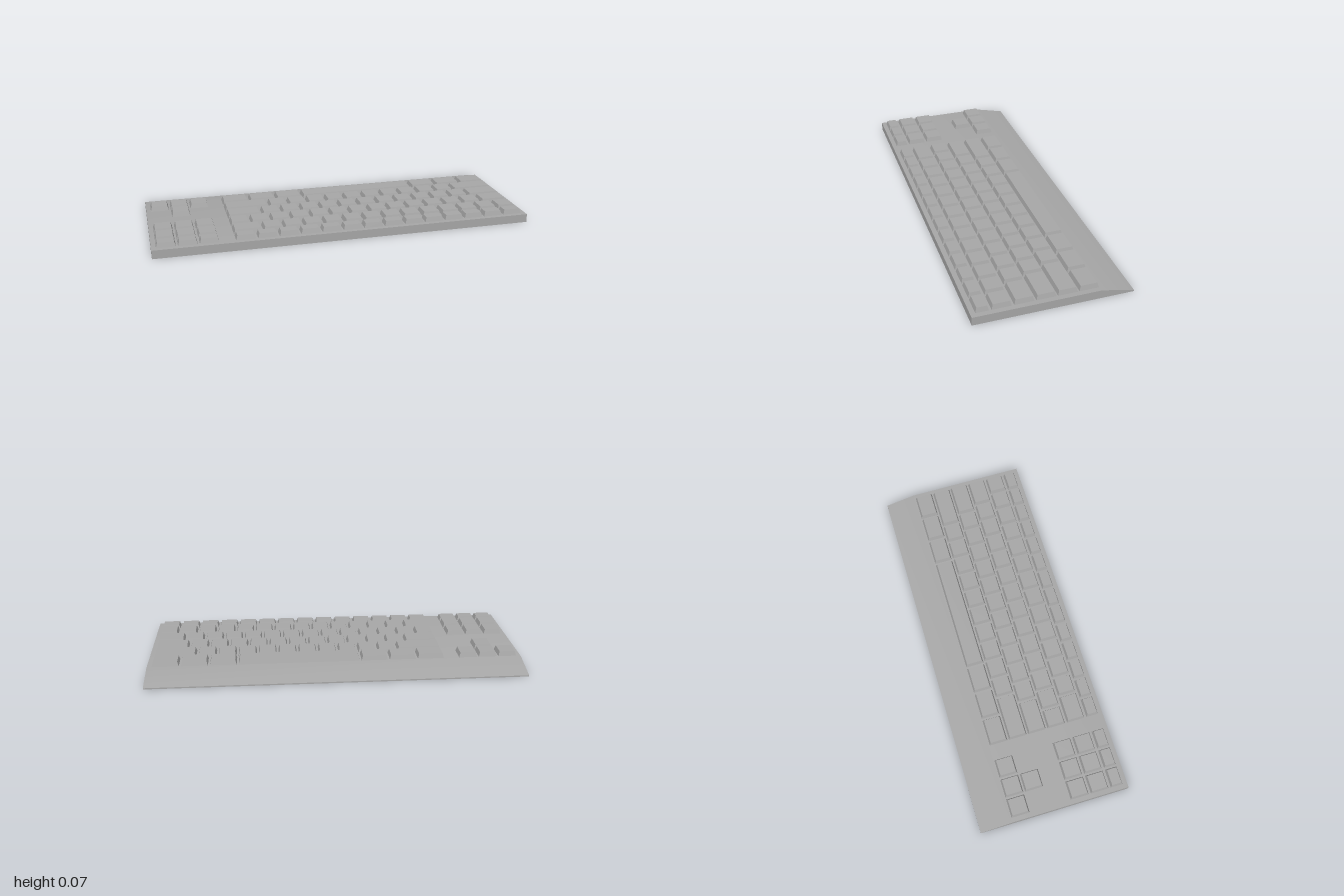
import * as THREE from 'three';
import { toCreasedNormals } from 'three/addons/utils/BufferGeometryUtils.js';

const DECK = 0.045, KEY_TOP = 0.07, GAP = 0.011, INSET = 0.007;

// Key cap: a box whose top face is drawn inwards
function keyGeometry(w, d) {
  const h = KEY_TOP - DECK;
  const g = new THREE.BoxGeometry(w, h, d);
  const p = g.attributes.position;
  for (let i = 0; i < p.count; i++) {
    if (p.getY(i) > 0) {
      p.setX(i, p.getX(i) - Math.sign(p.getX(i)) * INSET);
      p.setZ(i, p.getZ(i) - Math.sign(p.getZ(i)) * INSET);
    }
  }
  g.computeVertexNormals();
  return g;
}

export function createModel() {
  const model = new THREE.Group();
  model.name = 'keyboard';
  const grey = new THREE.MeshStandardMaterial({ color: 0xa6a6a6 });
  grey.name = 'grey plastic';

  // Wedge-shaped case, profile in (z, y) swept along x
  const profile = new THREE.Shape([
    [-0.403, 0], [0.403, 0], [0.403, DECK], [-0.237, DECK], [-0.403, 0.007],
  ].map(([z, y]) => new THREE.Vector2(z, y)));
  const body = new THREE.ExtrudeGeometry(profile, { depth: 2, bevelEnabled: false });
  body.rotateY(-Math.PI / 2).translate(1, 0, 0);
  const bodyMesh = new THREE.Mesh(toCreasedNormals(body, 0.5), grey);
  bodyMesh.name = 'case';
  model.add(bodyMesh);

  const addKey = (group, x0, x1, z0, z1) => {
    const key = new THREE.Mesh(keyGeometry(x1 - x0, z1 - z0), grey);
    key.position.set((x0 + x1) / 2, (DECK + KEY_TOP) / 2, (z0 + z1) / 2);
    key.name = 'key';
    group.add(key);
  };

  // Rows: z range, widths of the main keys in units, columns used in the side block
  const ones = (n) => Array(n).fill(1);
  const rows = [
    { z: [0.313, 0.378], widths: ones(14), side: [0, 1, 2] },
    { z: [0.203, 0.3], widths: [1.43, ...ones(13)], side: [0, 1, 2] },
    { z: [0.093, 0.191], widths: [...ones(13), 1.43], side: [0, 1, 2] },
    { z: [-0.016, 0.083], widths: [1.72, ...ones(11), 1.72], side: [] },
    { z: [-0.123, -0.024], widths: [2.26, ...ones(10), 2.16], side: [1] },
    { z: [-0.23, -0.132], widths: [1.4, 1.4, 1.4, 6.03, 1.4, 1.4, 1.4], side: [0, 1, 2] },
  ];
  const mainKeys = new THREE.Group();
  mainKeys.name = 'mainKeys';
  const sideKeys = new THREE.Group();
  sideKeys.name = 'sideKeys';
  const start = -0.58, span = 1.554 + GAP;

  for (const { z, widths, side } of rows) {
    const unit = span / widths.reduce((a, b) => a + b, 0);
    let x = start;
    for (const w of widths) {
      addKey(mainKeys, x, x + w * unit - GAP, z[0], z[1]);
      x += w * unit;
    }
    for (const c of side) {
      const sx = -0.976 + c * 0.1075;
      addKey(sideKeys, sx, sx + 0.097, z[0], z[1]);
    }
  }
  model.add(mainKeys, sideKeys);
  return model;
}
